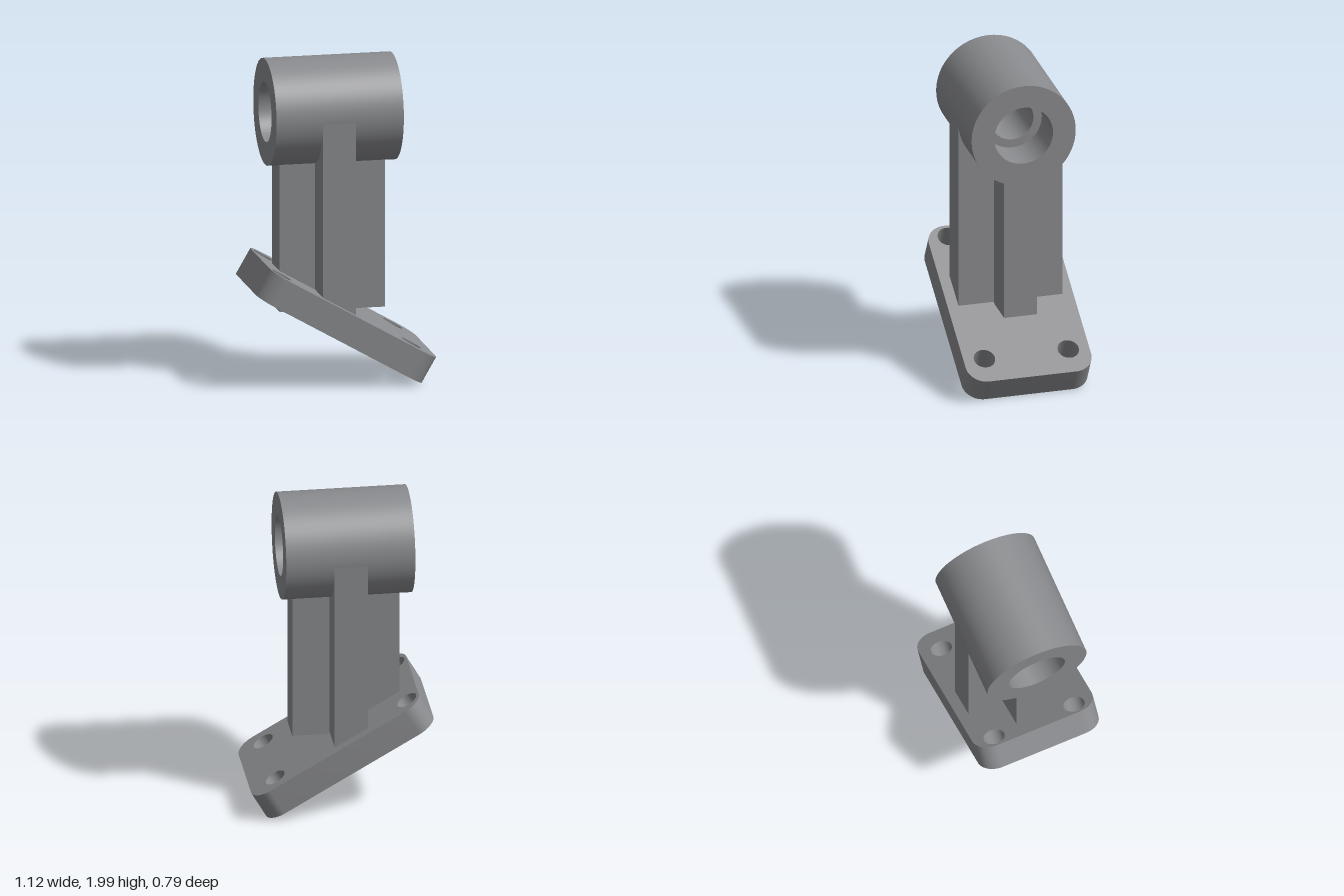
import * as THREE from 'three';
import { toCreasedNormals } from 'three/addons/utils/BufferGeometryUtils.js';

export function createModel() {
  const group = new THREE.Group();
  const steel = new THREE.MeshStandardMaterial({ color: 0x8a8b8e });
  steel.name = 'grey steel';

  const add = (name, geometry) => {
    const mesh = new THREE.Mesh(toCreasedNormals(geometry, 0.6), steel);
    mesh.name = name;
    group.add(mesh);
    return mesh;
  };

  // Horizontal bearing sleeve with a counterbore at each end
  const R = 0.328, half = 0.395, axisY = 1.672;
  const counterR = 0.185, boreR = 0.132, step = half - 0.25;
  const profile = [
    [R, -half], [R, half], [counterR, half], [counterR, step], [boreR, step],
    [boreR, -step], [counterR, -step], [counterR, -half], [R, -half],
  ].map(([r, y]) => new THREE.Vector2(r, y));
  const sleeve = add('bearingSleeve', new THREE.LatheGeometry(profile, 64).rotateZ(-Math.PI / 2));
  sleeve.position.set(-0.048, axisY, 0);

  // Long web of the cross-shaped stem, ending inside the sleeve wall
  const footY = 0.445, webTop = 1.41;
  const longWeb = add('longWeb', new THREE.BoxGeometry(0.655, webTop - footY, 0.208));
  longWeb.position.set(-0.0475, (webTop + footY) / 2, 0);

  // Cross web, forked around the bore
  const fork = new THREE.Shape();
  fork.moveTo(-0.327, footY);
  fork.lineTo(0.327, footY);
  fork.lineTo(0.327, axisY);
  fork.lineTo(0.26, axisY);
  fork.absarc(0, axisY, 0.26, 0, Math.PI, true);
  fork.lineTo(-0.327, axisY);
  fork.closePath();
  const crossWeb = add('crossWeb', new THREE.ExtrudeGeometry(fork,
    { depth: 0.205, bevelEnabled: false, curveSegments: 24 }).rotateY(-Math.PI / 2));
  crossWeb.position.x = 0.051;

  // Sloping base plate with rounded corners and four bolt holes
  const L = 0.592, W = 0.395, c = 0.12, thick = 0.18;
  const plate = new THREE.Shape();
  plate.absarc(L - c, W - c, c, 0, Math.PI / 2);
  plate.absarc(-L + c, W - c, c, Math.PI / 2, Math.PI);
  plate.absarc(-L + c, -W + c, c, Math.PI, Math.PI * 1.5);
  plate.absarc(L - c, -W + c, c, Math.PI * 1.5, Math.PI * 2);
  plate.closePath();
  for (const u of [-0.51, 0.42]) {
    for (const v of [-0.264, 0.264]) {
      const hole = new THREE.Path();
      hole.absarc(u, v, 0.066, 0, Math.PI * 2, true);
      plate.holes.push(hole);
    }
  }
  const base = add('basePlate', new THREE.ExtrudeGeometry(plate,
    { depth: thick, bevelEnabled: false, curveSegments: 16 })
    .translate(0, 0, -thick / 2).rotateX(-Math.PI / 2));
  base.rotation.z = -Math.PI / 6;
  base.position.set(-0.002, 0.381, 0);

  return group;
}
